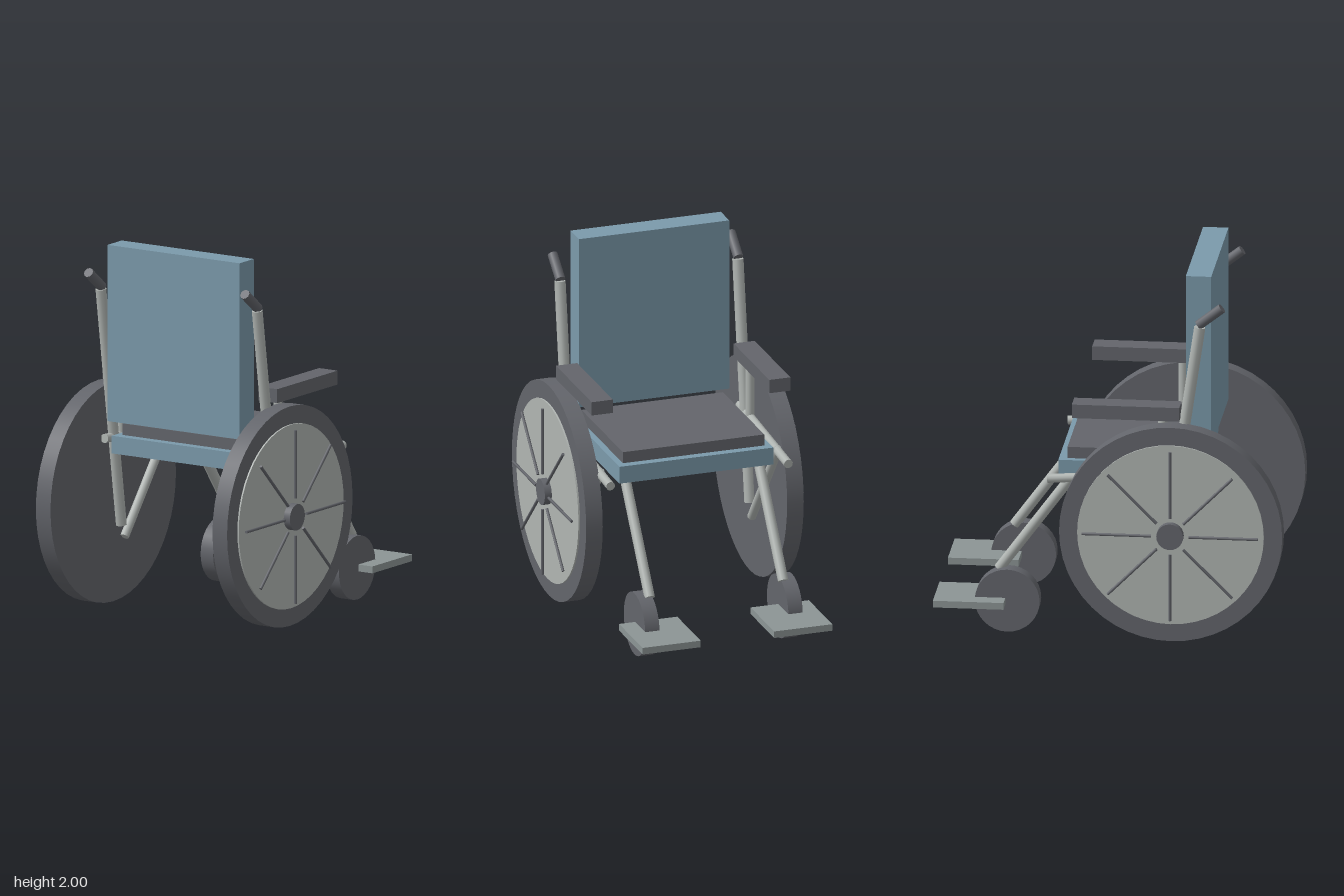
import * as THREE from 'three';

const mat = (name, color) => {
  const m = new THREE.MeshStandardMaterial({ color });
  m.name = name;
  return m;
};

export function createModel() {
  const group = new THREE.Group();
  const blue = mat('blueUpholstery', 0x7b9aab);
  const dark = mat('darkRubber', 0x63656b);
  const metal = mat('paleMetal', 0xb0b5b2);
  const plate = mat('greyPlate', 0x8c9595);

  const add = (parent, name, geometry, material) => {
    const mesh = new THREE.Mesh(geometry, material);
    mesh.name = name;
    parent.add(mesh);
    return mesh;
  };
  // Box given by its minimum and maximum corners
  const box = (parent, name, material, [x0, y0, z0], [x1, y1, z1]) =>
    add(parent, name, new THREE.BoxGeometry(x1 - x0, y1 - y0, z1 - z0), material)
      .position.set((x0 + x1) / 2, (y0 + y1) / 2, (z0 + z1) / 2);
  // Faceted rod between two points
  const rod = (parent, name, material, from, to, radius, sides = 10) => {
    const a = new THREE.Vector3(...from);
    const b = new THREE.Vector3(...to);
    const dir = b.clone().sub(a);
    const geometry = new THREE.CylinderGeometry(radius, radius, dir.length(), sides);
    const mesh = add(parent, name, geometry, material);
    mesh.position.copy(a).add(b).multiplyScalar(0.5);
    mesh.quaternion.setFromUnitVectors(new THREE.Vector3(0, 1, 0), dir.normalize());
  };

  // Seat and backrest
  box(group, 'backrest', blue, [-0.42, 1.05, 0.4], [0.42, 2, 0.535]);
  box(group, 'seatFrame', blue, [-0.43, 0.865, -0.275], [0.43, 0.96, 0.48]);
  box(group, 'seatCushion', dark, [-0.395, 0.96, -0.23], [0.395, 1.022, 0.43]);

  for (const s of [1, -1]) {
    const side = new THREE.Group();
    side.name = s > 0 ? 'leftSide' : 'rightSide';
    group.add(side);

    // Drive wheel: tyre, pale disc, hub and eight spokes
    const wy = 0.625, wz = 0.34;
    const disc = (name, material, x0, x1, r, sides, y = wy, z = wz) =>
      rod(side, name, material, [s * x0, y, z], [s * x1, y, z], r, sides);
    disc('tyre', dark, 0.515, 0.608, 0.592, 48);
    disc('wheelDisc', metal, 0.6, 0.617, 0.495, 48);
    disc('hub', dark, 0.61, 0.656, 0.071, 24);
    for (let i = 0; i < 8; i++) {
      const a = (i * Math.PI) / 4;
      const at = (r) => [s * 0.645, wy + r * Math.cos(a), wz + r * Math.sin(a)];
      rod(side, 'spoke', dark, at(0.1), at(0.467), 0.008, 8);
    }

    // Caster and footrest
    disc('caster', dark, 0.36, 0.44, 0.172, 32, 0.172, -0.545);
    box(side, 'footrest', plate,
      [Math.min(s * 0.205, s * 0.53), 0.15, -0.93],
      [Math.max(s * 0.205, s * 0.53), 0.187, -0.555]);

    // Tube frame
    const x = s * 0.497;
    rod(side, 'casterLeg', metal, [s * 0.373, 0.9, -0.175], [s * 0.373, 0.33, -0.595], 0.028);
    rod(side, 'backPost', metal, [x, 0.44, 0.29], [x, 1.745, 0.483], 0.03);
    rod(side, 'sideRail', metal, [x, 0.932, 0.45], [x, 0.877, -0.325], 0.025);
    rod(side, 'diagonalBrace', metal, [x, 0.37, 0.26], [x, 0.9, -0.16], 0.025);
    rod(side, 'armrestPost', metal, [x, 0.92, 0.287], [x, 1.24, 0.287], 0.025);
    rod(side, 'handle', dark, [x, 1.755, 0.475], [x, 1.853, 0.6], 0.027);

    // Armrest
    box(side, 'armrest', dark,
      [Math.min(s * 0.437, s * 0.555), 1.235, -0.19],
      [Math.max(s * 0.437, s * 0.555), 1.31, 0.38]);
  }
  return group;
}
